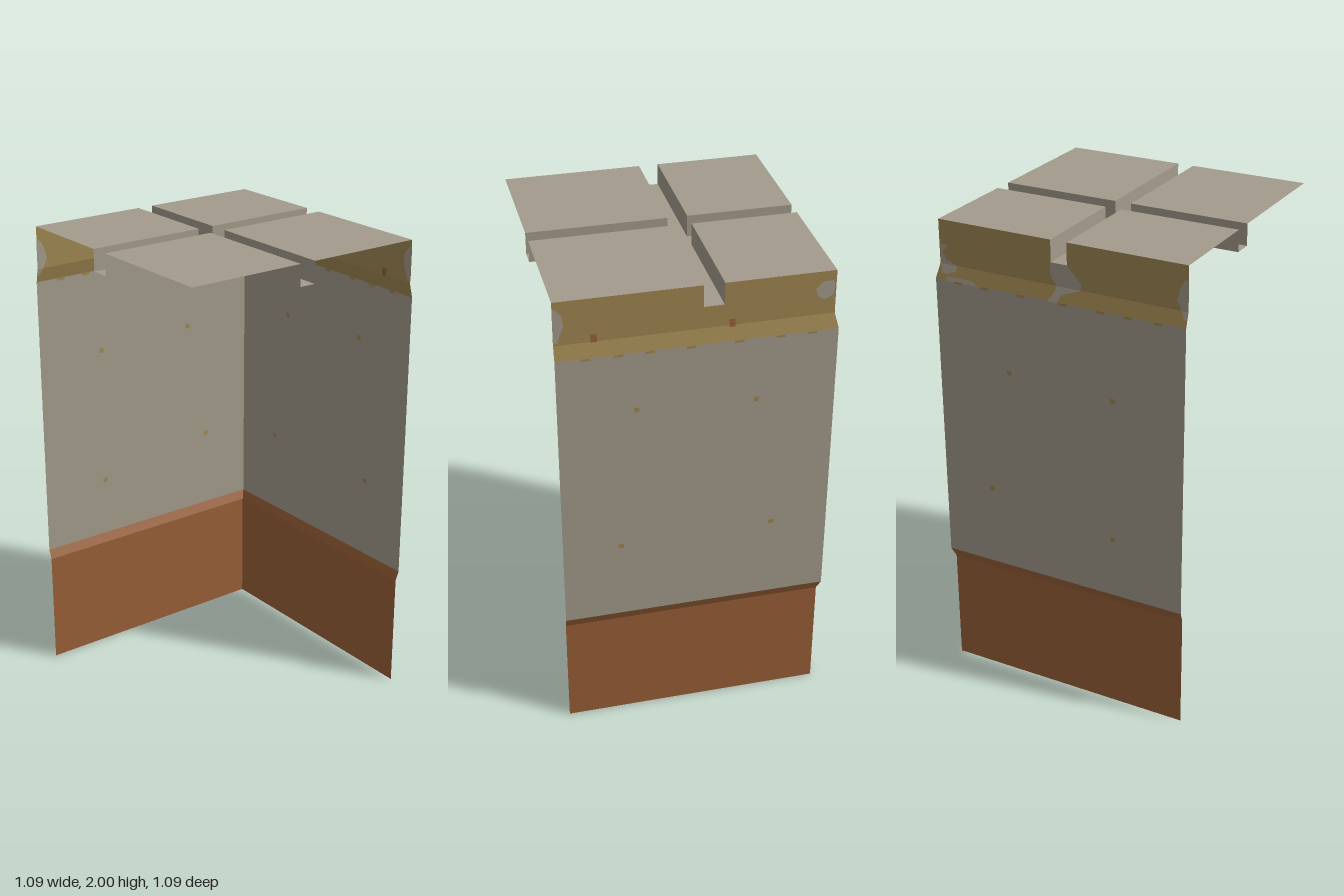
import * as THREE from 'three';

const paint = (name, color) => {
  const m = new THREE.MeshStandardMaterial({ color, side: THREE.DoubleSide });
  m.name = name;
  return m;
};
const EDGE = 0.545, TOP = 2, FLOOR = 1.91;

// distance of a wall from the centre at height y: the middle bulges out
const PROFILE = [[0, 0.53], [0.49, 0.53], [0.53, EDGE], [1.76, EDGE], [1.82, 0.53], [TOP, 0.53]];
function wallDistance(y) {
  for (let i = 1; i < PROFILE.length; i++) {
    const [y0, d0] = PROFILE[i - 1], [y1, d1] = PROFILE[i];
    if (y <= y1) return d0 + (d1 - d0) * (y - y0) / (y1 - y0);
  }
  return 0.53;
}

// surface made of quads between pairs of points
function ribbon(pairs) {
  const pos = [];
  for (let i = 1; i < pairs.length; i++) {
    const [a, b] = pairs[i - 1], [d, c] = pairs[i];
    pos.push(...a, ...b, ...c, ...a, ...c, ...d);
  }
  const g = new THREE.BufferGeometry();
  g.setAttribute('position', new THREE.Float32BufferAttribute(pos, 3));
  g.computeVertexNormals();
  return g;
}

export function createModel() {
  const stone = paint('grey stone', 0xa39b8b);
  const clay = paint('orange clay', 0x985f37);
  const ochre = paint('ochre trim', 0x9f8651);
  const model = new THREE.Group();
  const add = (parent, name, geo, mat) => {
    const m = new THREE.Mesh(geo, mat);
    m.name = name;
    parent.add(m);
  };

  function wall(name, place, notch, chips, specks, rustSpots) {
    const group = new THREE.Group();
    group.name = name;
    model.add(group);
    // rows are [y, start, end] along the wall; a null start means the mitred corner
    const band = (label, rows, mat, offset = 0) => add(group, label, ribbon(rows.map(([y, a, b]) => {
      const d = -wallDistance(y);
      return [place(a ?? d, y, d + offset), place(b, y, d + offset)];
    })), mat);
    const full = (...ys) => ys.map(y => [y, null, EDGE]);
    band('base', full(0, 0.49, 0.53), clay);
    band('panel', full(0.53, 1.76), stone);
    band('trim', full(1.76, 1.82, FLOOR), ochre);
    band('trimTop', [[FLOOR, null, notch[0]], [TOP, null, notch[0]]], ochre);
    band('trimTop', [[FLOOR, notch[1], EDGE], [TOP, notch[1], EDGE]], ochre);

    // worn patches and specks show on both sides of the sheet
    for (const side of [-0.002, 0.002]) {
      chips.forEach(rows => band('wornPatch', rows, stone, side));
      const spot = (u, y, w, h, mat, label) =>
        band(label, [[y - h, u - w, u + w], [y + h, u - w, u + w]], mat, side);
      specks.forEach(([u, y]) => spot(u, y, 0.011, 0.01, ochre, 'speck'));
      rustSpots.forEach(([u, y]) => spot(u, y, 0.012, 0.016, clay, 'rustSpot'));
      for (let i = 0; i < 7; i++)
        spot(-0.44 + i * 0.15 + 0.03 * Math.sin(i * 5), 1.755, 0.018, 0.005, ochre, 'trimDrip');
    }
  }

  // back wall
  wall('backWall', (u, y, d) => [u, y, d], [-0.1, -0.02],
    [
      [[1.885, -0.49, -0.48], [1.9, -0.52, -0.46], [1.93, -0.525, -0.45], [1.96, -0.52, -0.48]],
      [[1.83, 0.53, EDGE], [1.86, 0.52, EDGE], [1.9, 0.505, EDGE], [1.94, 0.51, EDGE], [1.97, 0.535, EDGE]],
    ],
    [[-0.23, 1.49], [0.24, 1.51], [-0.31, 0.89], [0.31, 0.875]],
    [[-0.13, 1.83], [0.395, 1.835]]);

  // side wall
  wall('sideWall', (u, y, d) => [d, y, u], [-0.03, 0.04],
    [
      [[1.757, -0.04, 0], [1.79, -0.015, 0.02], [1.82, -0.005, 0.1], [1.85, -0.025, 0.1],
        [1.88, -0.035, 0.07], [FLOOR, -0.03, 0.04]],
      [[1.785, -0.52, -0.49], [1.8, -0.52, -0.455], [1.82, -0.525, -0.45], [1.84, -0.525, -0.5],
        [1.87, -0.525, -0.515], [1.9, -0.525, -0.49]],
      [[1.79, 0.535, EDGE], [1.82, 0.52, EDGE], [1.86, 0.5, EDGE], [1.9, 0.51, EDGE], [1.94, 0.53, EDGE]],
      [[1.757, -0.5, -0.35], [1.775, -0.49, -0.38]],
    ],
    [[0.24, 1.4], [-0.22, 1.42], [-0.32, 0.88], [0.24, 0.79]], []);

  // top: four slabs parted by a cross of sunken grooves
  const top = new THREE.Group();
  top.name = 'top';
  model.add(top);
  const xs = [-0.53, -0.1, -0.02, EDGE], zs = [-0.53, -0.03, 0.04, EDGE];
  for (let i = 0; i < 3; i++) for (let j = 0; j < 3; j++) {
    const [x0, x1, z0, z1] = [xs[i], xs[i + 1], zs[j], zs[j + 1]];
    const slab = i !== 1 && j !== 1, y = slab ? TOP : FLOOR;
    add(top, slab ? 'slab' : 'grooveFloor',
      ribbon([[[x0, y, z0], [x0, y, z1]], [[x1, y, z0], [x1, y, z1]]]), stone);
    if (!slab) continue;
    const gx = i ? x0 : x1, gz = j ? z0 : z1;
    add(top, 'grooveSide', ribbon([[[gx, FLOOR, z0], [gx, FLOOR, z1]], [[gx, TOP, z0], [gx, TOP, z1]]]), stone);
    add(top, 'grooveSide', ribbon([[[x0, FLOOR, gz], [x1, FLOOR, gz]], [[x0, TOP, gz], [x1, TOP, gz]]]), stone);
  }
  return model;
}
